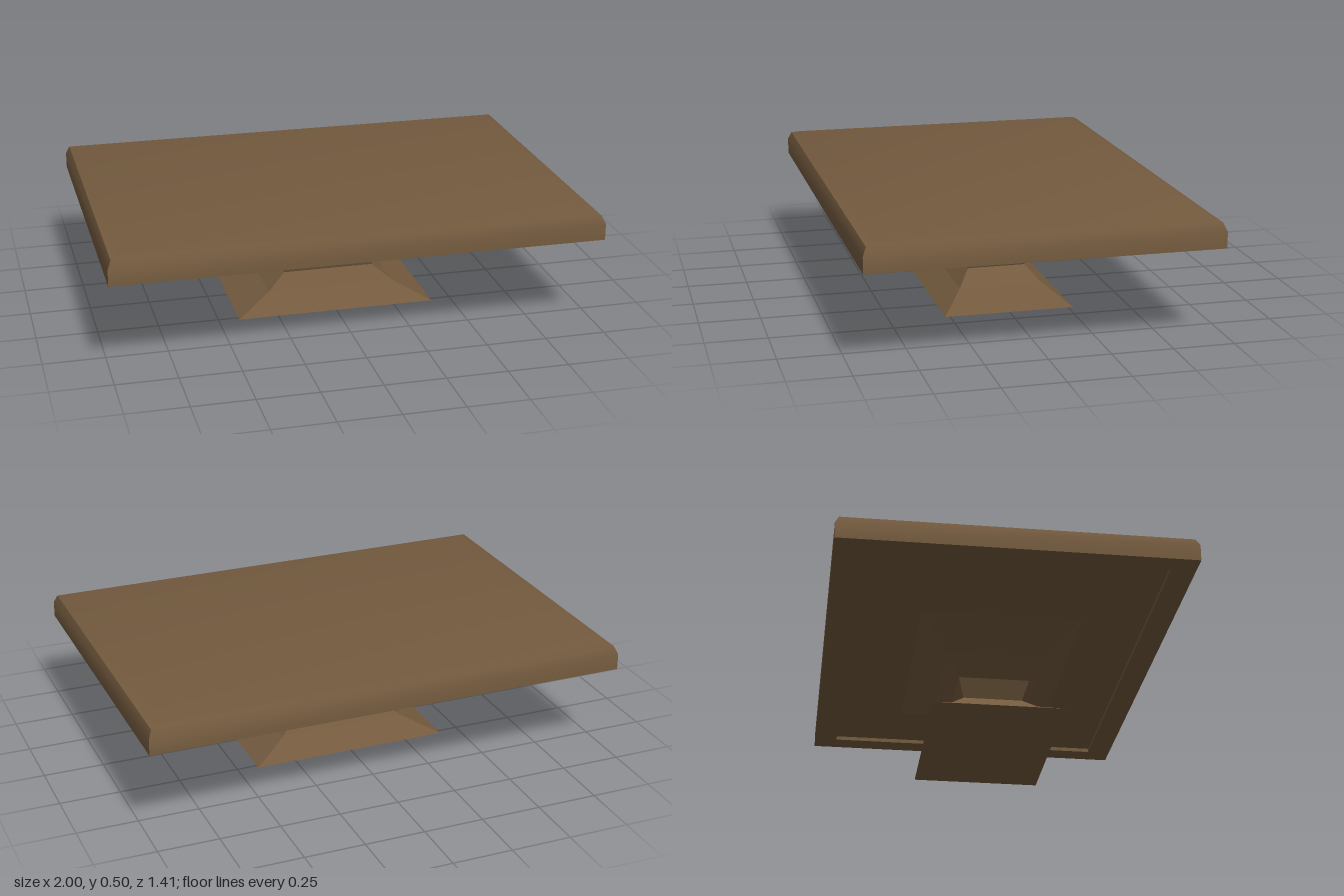
import * as THREE from 'three';
import { toCreasedNormals } from 'three/addons/utils/BufferGeometryUtils.js';

// Joins rectangular rings [halfX, halfZ, y]; optional flat caps at either end.
function loftRects(rings, capStart, capEnd) {
  const position = [];
  const corners = rings.map(([x, z, y]) => [[x, y, z], [x, y, -z], [-x, y, -z], [-x, y, z]]);
  const quad = (a, b, c, d) => [a, b, c, a, c, d].forEach((p) => position.push(...p));
  for (let i = 0; i < corners.length - 1; i++) {
    const lower = corners[i], upper = corners[i + 1];
    for (let j = 0; j < 4; j++) {
      const k = (j + 1) % 4;
      quad(lower[j], lower[k], upper[k], upper[j]);
    }
  }
  if (capStart) quad(...[...corners[0]].reverse());
  if (capEnd) quad(...corners[corners.length - 1]);
  const geometry = new THREE.BufferGeometry();
  geometry.setAttribute('position', new THREE.Float32BufferAttribute(position, 3));
  geometry.computeVertexNormals();
  return geometry;
}

export function createModel() {
  const group = new THREE.Group();
  group.name = 'pedestalTable';
  const wood = new THREE.MeshStandardMaterial({ color: 0x735a3e });
  wood.name = 'brownWood';

  const add = (name, geometry) => {
    const mesh = new THREE.Mesh(geometry, wood);
    mesh.name = name;
    group.add(mesh);
  };

  // Tabletop: shallow recess wall, underside rim, straight side, soft bevels
  const top = loftRects([
    [0.91, 0.605, 0.405],
    [0.91, 0.605, 0.388],
    [1, 0.705, 0.388],
    [1, 0.705, 0.455],
    [0.985, 0.69, 0.488],
    [0.945, 0.65, 0.5],
  ], false, true);
  add('tabletop', toCreasedNormals(top, Math.PI / 6));

  // Pedestal: flared foot, narrow waist, wide faceted flare up into the recess
  const pedestal = loftRects([
    [0.415, 0.27, 0],
    [0.27, 0.175, 0.07],
    [0.19, 0.122, 0.13],
    [0.228, 0.147, 0.205],
    [0.315, 0.203, 0.275],
    [0.51, 0.328, 0.36],
    [0.72, 0.465, 0.388],
    [0.91, 0.605, 0.405],
  ], true, false);
  add('pedestal', pedestal);

  return group;
}
